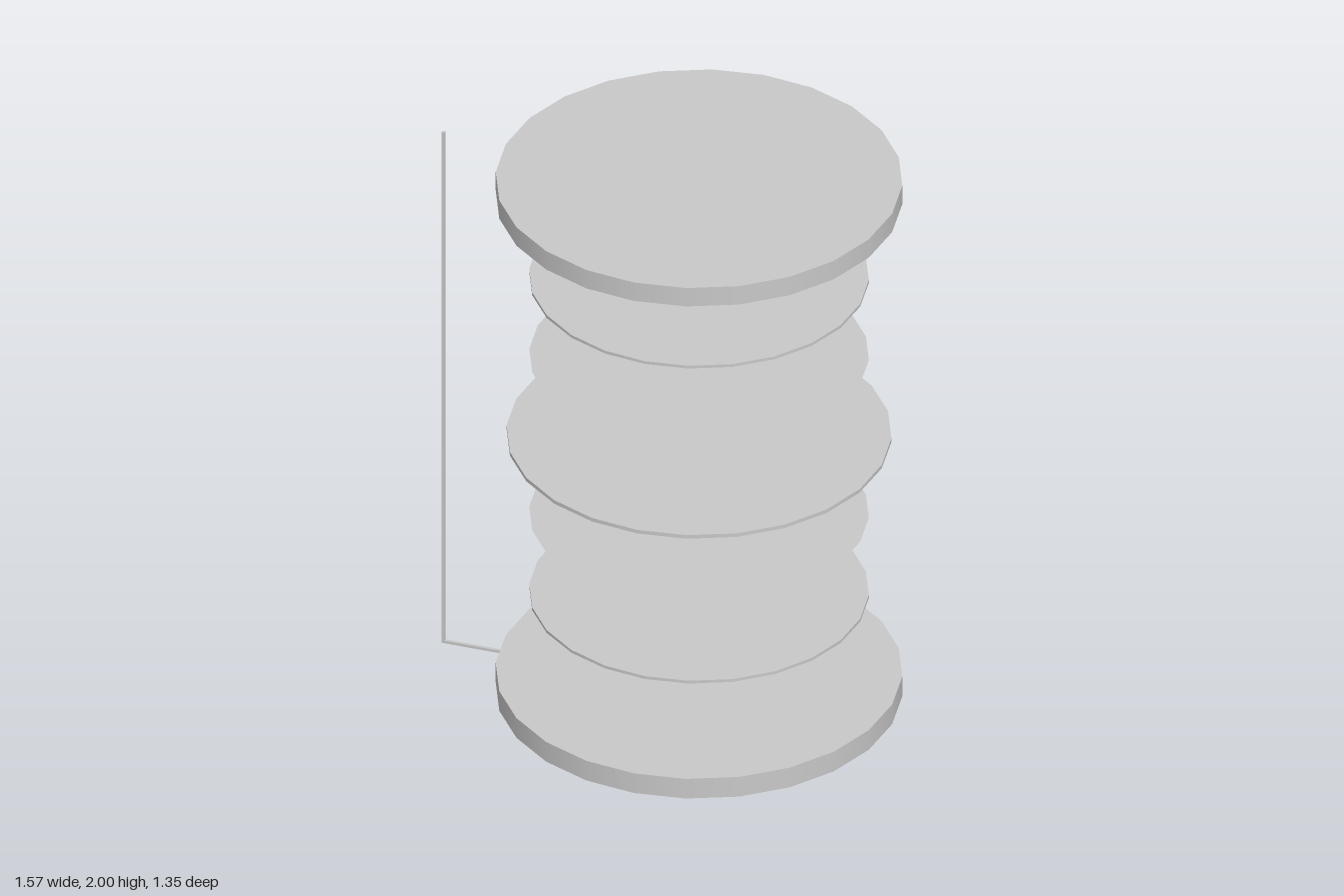
import * as THREE from 'three';

export function createModel() {
  const group = new THREE.Group();
  const grey = new THREE.MeshStandardMaterial({ color: 0xc8c8c8 });
  const greySheet = new THREE.MeshStandardMaterial({ color: 0xc8c8c8, side: THREE.DoubleSide });
  const axisX = 0.112;

  const add = (name, geometry, x, y, z, material = grey) => {
    const mesh = new THREE.Mesh(geometry, material);
    mesh.name = name;
    mesh.position.set(x, y, z);
    group.add(mesh);
    return mesh;
  };

  // Solid 24-sided plates: name, radius, bottom, top
  const plates = [
    ['basePlate', 0.673, 0, 0.077],
    ['lowerDisc', 0.562, 0.38, 0.391],
    ['middleDisc', 0.637, 0.995, 1.009],
    ['upperDisc', 0.562, 1.614, 1.625],
    ['topPlate', 0.673, 1.928, 2],
  ];
  for (const [name, r, y0, y1] of plates) {
    add(name, new THREE.CylinderGeometry(r, r, y1 - y0, 24), axisX, (y0 + y1) / 2, 0);
  }

  // Paper-thin discs between the plates
  for (const [name, y] of [['lowerSheet', 0.693], ['upperSheet', 1.312]]) {
    add(name, new THREE.CircleGeometry(0.562, 24).rotateX(-Math.PI / 2), axisX, y, 0, greySheet);
  }

  // Upright rod and the arm joining it to the base
  add('uprightRod', new THREE.BoxGeometry(0.01, 2, 0.01), -0.78, 1, -0.004);
  add('baseArm', new THREE.BoxGeometry(0.225, 0.01, 0.01), -0.6625, 0.005, -0.004);

  return group;
}
